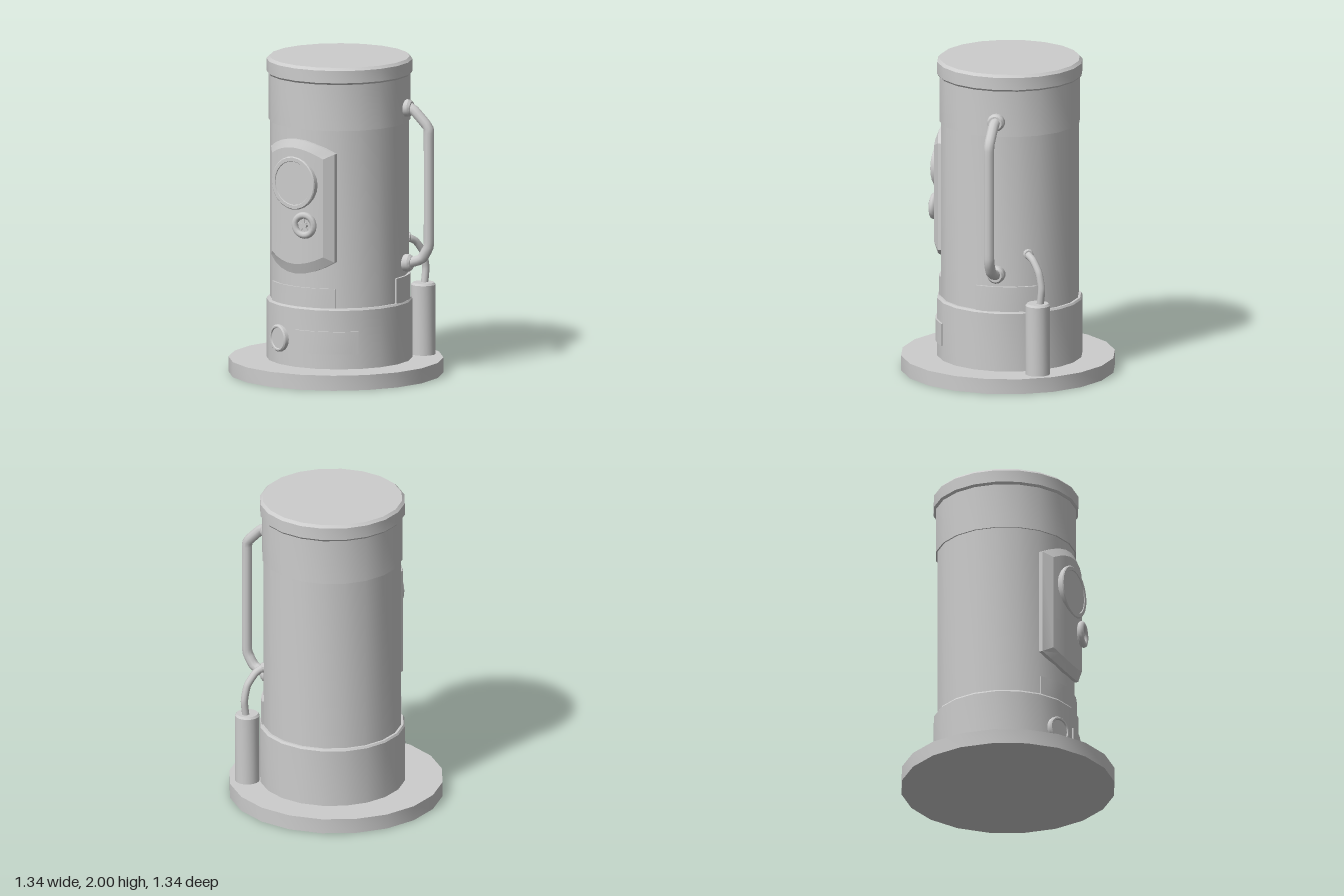
import * as THREE from 'three';
import { toCreasedNormals } from 'three/addons/utils/BufferGeometryUtils.js';

const SIDES = 20;
const grey = new THREE.MeshStandardMaterial({ color: 0xcccccc });
grey.name = 'plain grey';

const rad = THREE.MathUtils.degToRad;

function add(parent, name, geometry, crease = 0.5) {
  const mesh = new THREE.Mesh(toCreasedNormals(geometry, crease), grey);
  mesh.name = name;
  parent.add(mesh);
  return mesh;
}

// turned part from [radius, height] pairs, bottom to top
function turned(points, sides = SIDES) {
  return new THREE.LatheGeometry(points.map(p => new THREE.Vector2(...p)), sides);
}

// turned part whose axis points along +z
function turnedForward(points, sides) {
  return turned(points, sides).rotateX(Math.PI / 2);
}

// curved plate wrapped round the body between two angles
function wrappedPlate(a0, a1, y0, y1, r0, r1) {
  const g = new THREE.BoxGeometry(1, y1 - y0, 1, 8, 1, 1);
  const p = g.attributes.position;
  for (let i = 0; i < p.count; i++) {
    const a = THREE.MathUtils.lerp(rad(a0), rad(a1), p.getX(i) + 0.5);
    const r = THREE.MathUtils.lerp(r0, r1, p.getZ(i) + 0.5);
    p.setXYZ(i, r * Math.sin(a), p.getY(i) + (y0 + y1) / 2, r * Math.cos(a));
  }
  return g;
}

// arched door plate: three outline loops on growing radii, then a curved face
function doorPlate() {
  const N = 8;
  const loop = (half, sideTop, midTop, sideLow, midLow, r) => {
    const pts = [];
    const put = (t, side, mid) => {
      const a = Math.asin(half * t / r);
      pts.push([r * Math.sin(a), side + (mid - side) * (1 - t * t), r * Math.cos(a)]);
    };
    for (let i = 0; i <= N; i++) put(-1 + 2 * i / N, sideLow, midLow);
    for (let i = 0; i <= N; i++) put(1 - 2 * i / N, sideTop, midTop);
    return pts;
  };
  const loops = [
    loop(0.25, 1.455, 1.535, 0.77, 0.685, 0.42),
    loop(0.25, 1.455, 1.535, 0.77, 0.685, 0.45),
    loop(0.20, 1.425, 1.485, 0.805, 0.75, 0.473),
  ];
  const M = loops[0].length, index = [];
  for (let k = 0; k < 2; k++) {
    for (let i = 0; i < M; i++) {
      const j = (i + 1) % M, a = k * M, b = a + M;
      index.push(a + i, a + j, b + j, a + i, b + j, b + i);
    }
  }
  const f = 2 * M;
  for (let i = 0; i < N; i++) {
    const t = M - 1 - i;
    index.push(f + i, f + i + 1, f + t - 1, f + i, f + t - 1, f + t);
  }
  const g = new THREE.BufferGeometry();
  g.setAttribute('position', new THREE.Float32BufferAttribute(loops.flat(2), 3));
  g.setIndex(index);
  return g;
}

function pipe(points, radius, tension) {
  const path = new THREE.CatmullRomCurve3(
    points.map(p => new THREE.Vector3(...p)), false, 'catmullrom', tension);
  return new THREE.TubeGeometry(path, 40, radius, 10);
}

export function createModel() {
  const model = new THREE.Group();
  model.name = 'boiler';

  add(model, 'basePlate', turned([[0, 0], [0.67, 0], [0.67, 0.095], [0, 0.095]]));

  // body, slightly off the middle of the base
  const body = new THREE.Group();
  body.name = 'body';
  body.position.set(0.012, 0, -0.02);
  model.add(body);

  add(body, 'lowerBand', turned([[0, 0.09], [0.455, 0.09], [0.455, 0.465], [0.447, 0.477], [0, 0.477]]));
  add(body, 'barrel', turned([[0.432, 0.47], [0.432, 1.61]]));
  add(body, 'upperBand', turned([[0, 1.6], [0.441, 1.6], [0.441, 1.9]]));
  add(body, 'lid', turned([[0, 1.893], [0.445, 1.893], [0.455, 1.905], [0.455, 1.983], [0.438, 2], [0, 2]]));

  // wrapped plates
  add(body, 'lowerNameplate', wrappedPlate(1, 52.5, 0.19, 0.332, 0.44, 0.464));
  add(body, 'frontPatch', wrappedPlate(-34.5, 34.5, 0.475, 0.6, 0.42, 0.441));
  add(body, 'sidePatch', wrappedPlate(91, 142, 0.475, 0.635, 0.42, 0.444));

  // front door with porthole
  add(body, 'doorPlate', doorPlate(), 0.3);
  const porthole = add(body, 'porthole', turnedForward(
    [[0.168, -0.06], [0.168, 0.002], [0.162, 0.008], [0.14, 0.008], [0.137, 0.003], [0, 0.003]], 24));
  porthole.position.set(0, 1.26, 0.471);

  // hand wheel on the door
  const wheel = new THREE.Group();
  wheel.name = 'handWheel';
  wheel.position.set(0.095, 1.005, 0.485);
  wheel.rotation.y = rad(13);
  body.add(wheel);
  add(wheel, 'wheelRim', new THREE.TorusGeometry(0.063, 0.022, 8, 20), 1);
  add(wheel, 'wheelHub', turnedForward([[0.018, -0.05], [0.018, 0.008], [0, 0.008]], 10));
  for (let i = 0; i < 5; i++) {
    const spoke = new THREE.BoxGeometry(0.01, 0.055, 0.01);
    spoke.translate(0, 0.032, 0).rotateZ(i * Math.PI * 2 / 5);
    add(wheel, 'wheelSpoke', spoke);
  }

  // round gauge on the lower band
  const gauge = add(body, 'gauge', turnedForward(
    [[0.086, -0.06], [0.086, 0.008], [0.078, 0.016], [0.068, 0.016], [0.064, 0.008], [0, 0.008]], 20));
  const ga = rad(-18);
  gauge.position.set(0.458 * Math.sin(ga), 0.26, 0.458 * Math.cos(ga));
  gauge.rotation.y = ga;

  // side handle with two mounts
  add(model, 'sideHandle', pipe([
    [0.43, 1.7, -0.165], [0.475, 1.69, -0.17], [0.57, 1.59, -0.192], [0.58, 1.54, -0.195],
    [0.58, 0.86, -0.195], [0.57, 0.81, -0.192], [0.53, 0.745, -0.183], [0.43, 0.71, -0.165]], 0.033, 0.2), 1);
  for (const y of [1.695, 0.715]) {
    const mount = add(model, 'handleMount', turnedForward(
      [[0.055, -0.04], [0.055, 0.012], [0.043, 0.028], [0, 0.028]], 14));
    mount.position.set(0.438, y, -0.163);
    mount.rotation.y = rad(106);
  }

  // canister and its hose
  const canister = add(model, 'canister', turned(
    [[0, 0.09], [0.077, 0.09], [0.077, 0.535], [0.067, 0.548], [0, 0.548]], 20));
  canister.position.set(0.363, 0, -0.42);
  add(model, 'hose', pipe([
    [0.36, 0.53, -0.435], [0.362, 0.64, -0.447], [0.357, 0.74, -0.425],
    [0.34, 0.81, -0.375], [0.325, 0.835, -0.335], [0.305, 0.845, -0.31]], 0.023, 0.3), 1);
  const collar = add(model, 'hoseCollar', turnedForward(
    [[0.032, -0.03], [0.032, 0.008], [0.026, 0.014], [0, 0.014]], 12));
  collar.position.set(0.317, 0.842, -0.325);
  collar.rotation.y = rad(135);

  return model;
}
